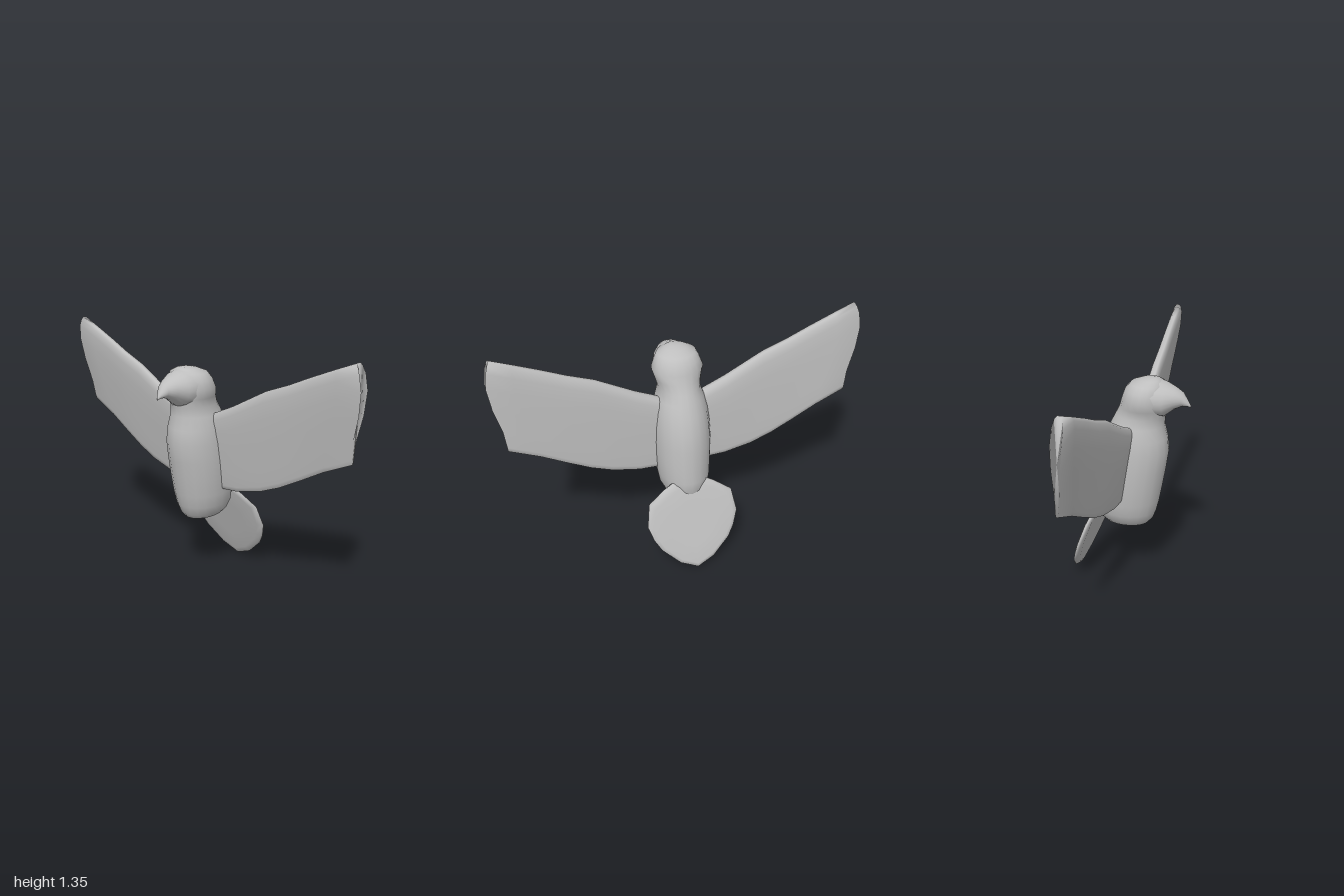
import * as THREE from 'three';

const plumage = new THREE.MeshStandardMaterial({ color: 0xbfbfbf });
plumage.name = 'grey plumage';

// Skin closed rings of points, cap both ends, and turn the faces outward
function loft(name, rings) {
  const n = rings[0].length;
  const pts = rings.flat();
  const index = [];
  for (let r = 0; r < rings.length - 1; r++) {
    for (let i = 0; i < n; i++) {
      const a = r * n + i, b = r * n + (i + 1) % n;
      index.push(a, b, b + n, a, b + n, a + n);
    }
  }
  [0, rings.length - 1].forEach((r, end) => {
    const c = new THREE.Vector3();
    rings[r].forEach((p) => c.addScaledVector(p, 1 / n));
    pts.push(c);
    for (let i = 0; i < n; i++) {
      const a = r * n + i, b = r * n + (i + 1) % n;
      if (end) index.push(a, b, pts.length - 1);
      else index.push(b, a, pts.length - 1);
    }
  });
  let volume = 0;
  for (let i = 0; i < index.length; i += 3) {
    volume += pts[index[i]].dot(pts[index[i + 1]].clone().cross(pts[index[i + 2]]));
  }
  if (volume < 0) index.reverse();
  const geo = new THREE.BufferGeometry().setFromPoints(pts);
  geo.setIndex(index);
  geo.computeVertexNormals();
  const mesh = new THREE.Mesh(geo, plumage);
  mesh.name = name;
  return mesh;
}

function ellipse(place, n = 20) {
  return Array.from({ length: n }, (_, i) => {
    const a = (i / n) * Math.PI * 2;
    return place(Math.cos(a), Math.sin(a));
  });
}

// Body and head: height, front z, back z, half width
function makeBody() {
  const rows = [
    [0.342, 0.07, -0.11, 0.055], [0.352, 0.11, -0.14, 0.085], [0.38, 0.135, -0.165, 0.112],
    [0.43, 0.155, -0.185, 0.135], [0.5, 0.172, -0.19, 0.147], [0.6, 0.19, -0.178, 0.155],
    [0.7, 0.207, -0.174, 0.158], [0.8, 0.221, -0.155, 0.155], [0.88, 0.212, -0.13, 0.146],
    [0.95, 0.195, -0.1, 0.13], [1.0, 0.2, -0.075, 0.112], [1.05, 0.21, -0.05, 0.125],
    [1.1, 0.21, -0.035, 0.14], [1.145, 0.205, -0.02, 0.123], [1.18, 0.195, 0.01, 0.105],
    [1.2, 0.17, 0.06, 0.06], [1.208, 0.15, 0.1, 0.025],
  ];
  return loft('body', rows.map(([y, f, b, w]) => ellipse((c, s) =>
    new THREE.Vector3(c * w, y, (f + b) / 2 + s * (f - b) / 2))));
}

// Hooked beak: z, top y, bottom y, half width
function makeBeak() {
  const rows = [
    [0.08, 1.2, 1.0, 0.115], [0.14, 1.207, 1.0, 0.118], [0.2, 1.19, 1.01, 0.1],
    [0.25, 1.167, 1.05, 0.068], [0.29, 1.143, 1.07, 0.04], [0.32, 1.1, 1.07, 0.016],
    [0.334, 1.078, 1.063, 0.004],
  ];
  return loft('beak', rows.map(([z, t, b, w]) => ellipse((c, s) =>
    new THREE.Vector3(c * w, (t + b) / 2 + s * (t - b) / 2, z))));
}

// Wing: leading x, y and trailing x, y at each station from root to tip
function makeWing(side) {
  const stations = [
    [0.06, 0.93, 0.06, 0.53], [0.12, 0.96, 0.14, 0.53], [0.25, 1.02, 0.25, 0.538],
    [0.46, 1.135, 0.4, 0.575], [0.6, 1.19, 0.52, 0.625], [0.72, 1.245, 0.64, 0.69],
    [0.86, 1.305, 0.78, 0.77], [0.97, 1.35, 0.94, 0.845],
  ];
  // Position along the chord, half thickness, outward bow of the tip
  const chord = [[0, 0.012, 0], [0.03, 0.026, 0.008], [0.1, 0.034, 0.022], [0.26, 0.034, 0.038],
    [0.5, 0.027, 0.03], [0.78, 0.017, 0.002], [0.95, 0.01, 0], [1, 0.005, 0]];
  const outline = [...chord.map((c) => [...c, 1]), ...chord.toReversed().map((c) => [...c, -1])];
  return loft(side > 0 ? 'leftWing' : 'rightWing', stations.map(([lx, ly, tx, ty]) => {
    const s = lx / 0.97;
    return outline.map(([t, h, bow, face]) => new THREE.Vector3(
      side * (THREE.MathUtils.lerp(lx, tx, t) + bow * s ** 3),
      THREE.MathUtils.lerp(ly, ty, t),
      THREE.MathUtils.lerp(0.031 - 0.027 * s, -0.002 - 0.04 * s, t) + face * h * (1 - 0.2 * s),
    ));
  }));
}

// Tail: rounded fan, thin at the rim and sloping backward
function makeTail() {
  const outline = [[0, 0], [0.1, 0.045], [0.2, 0.14], [0.235, 0.2], [0.262, 0.28], [0.24, 0.4],
    [0.145, 0.465], [0.06, 0.51]];
  const loop = [...outline, ...outline.slice(1).toReversed().map(([x, y]) => [-x, y])];
  const layers = [[0.5, 0.02], [0.88, 0.019], [0.98, 0.011], [1, 0], [0.98, -0.011],
    [0.88, -0.019], [0.5, -0.02]];
  return loft('tail', layers.map(([k, d]) => loop.map(([x, y]) => {
    const h = 0.26 + (y - 0.26) * k;
    return new THREE.Vector3(0.008 + x * k, h + d * 0.33, -0.312 + h * 0.345 + d);
  })));
}

export function createModel() {
  const bird = new THREE.Group();
  bird.name = 'bird';
  bird.add(makeBody(), makeBeak(), makeWing(1), makeWing(-1), makeTail());
  return bird;
}
